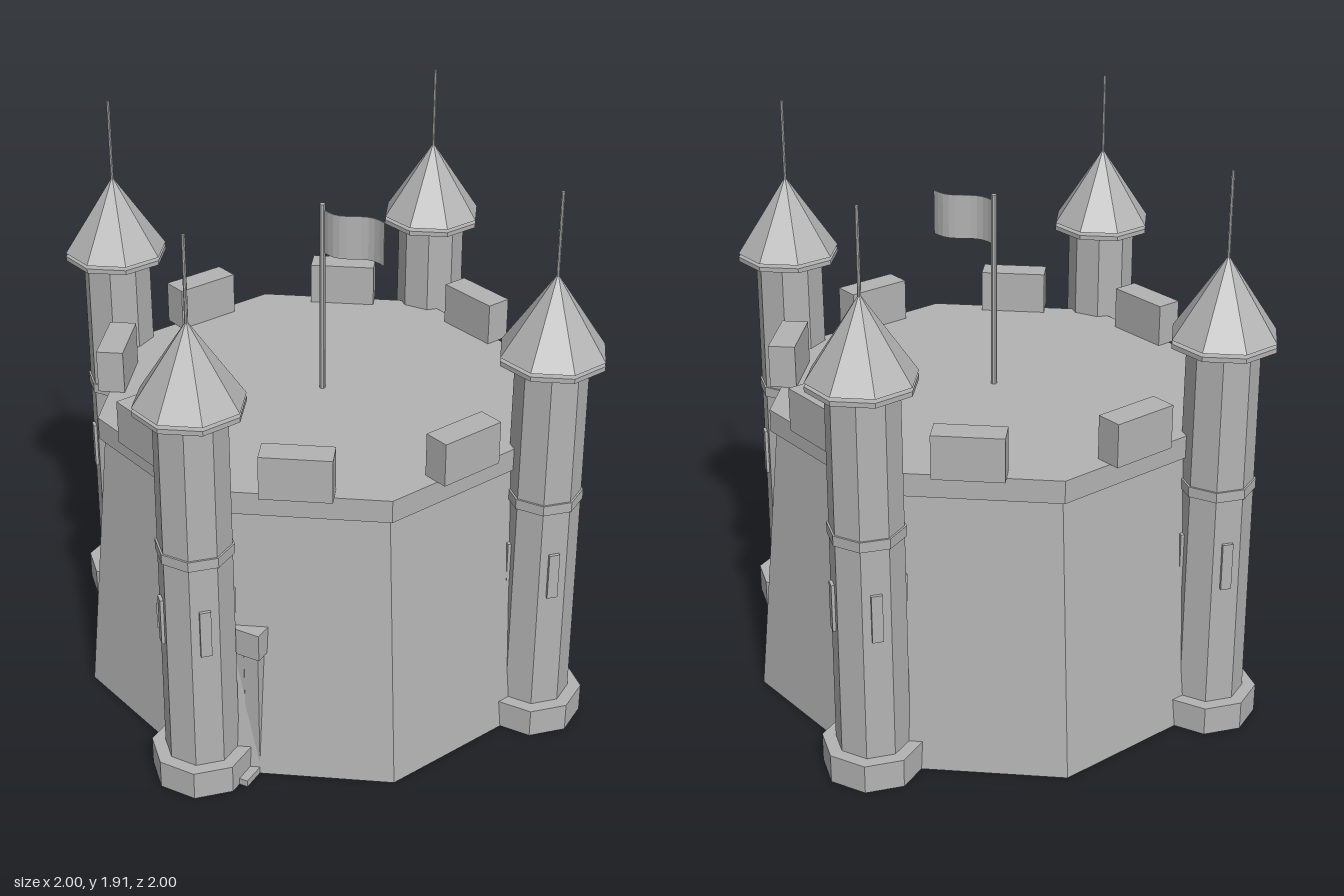
import * as THREE from 'three';

const stone = new THREE.MeshStandardMaterial({ color: 0xb3b3b3, flatShading: true });
stone.name = 'stone grey';

function add(parent, name, geometry, x = 0, y = 0, z = 0, turn = 0) {
  const mesh = new THREE.Mesh(geometry, stone);
  mesh.name = name;
  mesh.position.set(x, y, z);
  mesh.rotation.y = turn;
  parent.add(mesh);
  return mesh;
}

// Prism between two heights, with radii at top and bottom
function prism(parent, name, rTop, rBottom, y0, y1, turn = 0, sides = 8) {
  const g = new THREE.CylinderGeometry(rTop, rBottom, y1 - y0, sides);
  return add(parent, name, g, 0, (y0 + y1) / 2, 0, turn);
}

function box(parent, name, w, h, d, x, y, z, turn = 0) {
  return add(parent, name, new THREE.BoxGeometry(w, h, d), x, y, z, turn);
}

function createTower() {
  const tower = new THREE.Group();
  tower.name = 'tower';
  const flat = Math.PI / 8;
  prism(tower, 'towerPlinth', 0.168, 0.168, 0, 0.1, flat);
  prism(tower, 'towerShaft', 0.117, 0.123, 0.1, 1.36, flat);
  prism(tower, 'towerBand', 0.126, 0.126, 0.85, 0.885, flat);
  // Roof floats just above its eaves plate, carried by the spire
  prism(tower, 'eavesPlate', 0.176, 0.176, 1.353, 1.369);
  prism(tower, 'coneRoof', 0, 0.176, 1.381, 1.645);
  prism(tower, 'spire', 0.006, 0.006, 1.36, 1.915, 0, 8);
  // Arrow slits on the four diagonals
  for (let i = 0; i < 4; i++) {
    const a = Math.PI / 4 + i * Math.PI / 2;
    box(tower, 'arrowSlit', 0.036, 0.165, 0.02, Math.sin(a) * 0.112, 0.612, Math.cos(a) * 0.112, a);
  }
  return tower;
}

export function createModel() {
  const castle = new THREE.Group();
  castle.name = 'castle';

  // Tapered keep with an overhanging rim
  prism(castle, 'keepWall', 0.75, 0.842, 0, 0.965);
  prism(castle, 'keepRim', 0.77, 0.77, 0.962, 1.04);

  // One merlon at the middle of each side
  for (let i = 0; i < 8; i++) {
    const a = Math.PI / 8 + i * Math.PI / 4;
    box(castle, 'merlon', 0.23, 0.148, 0.09, Math.sin(a) * 0.703, 1.116, Math.cos(a) * 0.703, a);
  }

  // Corner towers on the four axes
  for (let i = 0; i < 4; i++) {
    const a = i * Math.PI / 2;
    const tower = createTower();
    tower.position.set(Math.sin(a) * 0.822, 0, Math.cos(a) * 0.822);
    castle.add(tower);
  }

  // Gateway behind the front tower
  const gate = new THREE.Group();
  gate.name = 'gate';
  castle.add(gate);
  box(gate, 'gateLintel', 0.385, 0.095, 0.09, 0, 0.508, 0.725);
  box(gate, 'gateDoor', 0.26, 0.46, 0.08, 0, 0.23, 0.72);
  box(gate, 'gateThreshold', 0.37, 0.024, 0.11, 0, 0.012, 0.79);
  for (const s of [-1, 1]) box(gate, 'gatePost', 0.052, 0.46, 0.08, s * 0.158, 0.23, 0.722);

  // Flagpole and rippling flag
  prism(castle, 'flagpole', 0.01, 0.01, 1.03, 1.71, 0, 8);
  const cloth = new THREE.BoxGeometry(0.22, 0.15, 0.004, 10, 1, 1);
  const p = cloth.attributes.position;
  for (let i = 0; i < p.count; i++) {
    const t = p.getX(i) / 0.22 + 0.5;
    p.setZ(i, p.getZ(i) + 0.018 * Math.sin(t * Math.PI * 2));
  }
  cloth.computeVertexNormals();
  add(castle, 'flag', cloth, 0.116, 1.615, 0);

  return castle;
}
